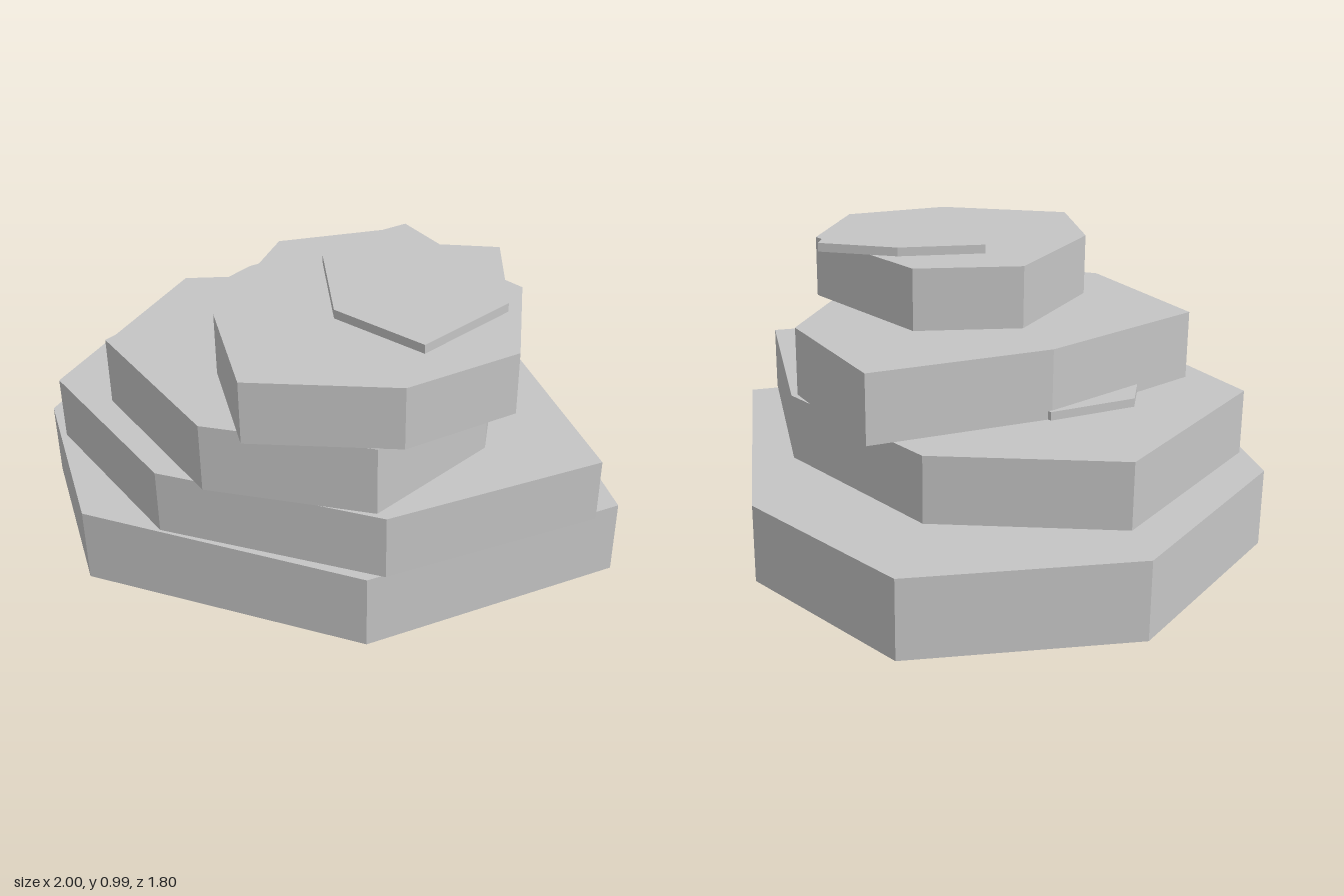
import * as THREE from 'three';

// Each slab: name, bottom, top, outline as [x, z] corners
const slabs = [
  ['baseSlab', 0, 0.272, [[-0.445, -0.9], [0.24, -0.765], [1, 0.05], [0.432, 0.755], [-0.54, 0.9], [-0.99, 0.465], [-1, -0.36]]],
  ['secondSlab', 0.272, 0.503, [[-0.85, -0.215], [-0.29, -0.553], [0.4, -0.38], [0.957, 0.15], [0.477, 0.715], [-0.267, 0.85], [-0.85, 0.572]]],
  // thin flake wedged under the third slab
  ['lowerFlake', 0.503, 0.533, [[-0.455, -0.065], [-0.12, 0], [-0.03, 0.25], [-0.15, 0.5], [-0.48, 0.5], [-0.615, 0.21]]],
  ['thirdSlab', 0.503, 0.745, [[-0.1, -0.593], [0.39, -0.36], [0.597, 0.25], [0.44, 0.705], [-0.09, 0.85], [-0.617, 0.587], [-0.45, -0.05]]],
  ['fourthSlab', 0.745, 0.962, [[0.04, -0.158], [0.59, -0.008], [0.728, 0.35], [0.51, 0.668], [0.07, 0.865], [-0.19, 0.582], [-0.245, 0.085]]],
  ['topFlake', 0.962, 0.993, [[0.445, -0.165], [0.607, 0.15], [0.48, 0.483], [0.15, 0.432], [-0.042, 0.152], [0.18, -0.058]]],
];

// Upright prism from a floor outline
function prism(outline, bottom, top) {
  const shape = new THREE.Shape(outline.map(([x, z]) => new THREE.Vector2(x, -z)));
  return new THREE.ExtrudeGeometry(shape, { depth: top - bottom, bevelEnabled: false })
    .rotateX(-Math.PI / 2)
    .translate(0, bottom, 0);
}

export function createModel() {
  const stone = new THREE.MeshStandardMaterial({ color: 0xc5c5c5 });
  stone.name = 'stone grey';
  const group = new THREE.Group();
  group.name = 'stackedRocks';
  for (const [name, bottom, top, outline] of slabs) {
    const mesh = new THREE.Mesh(prism(outline, bottom, top), stone);
    mesh.name = name;
    group.add(mesh);
  }
  return group;
}
